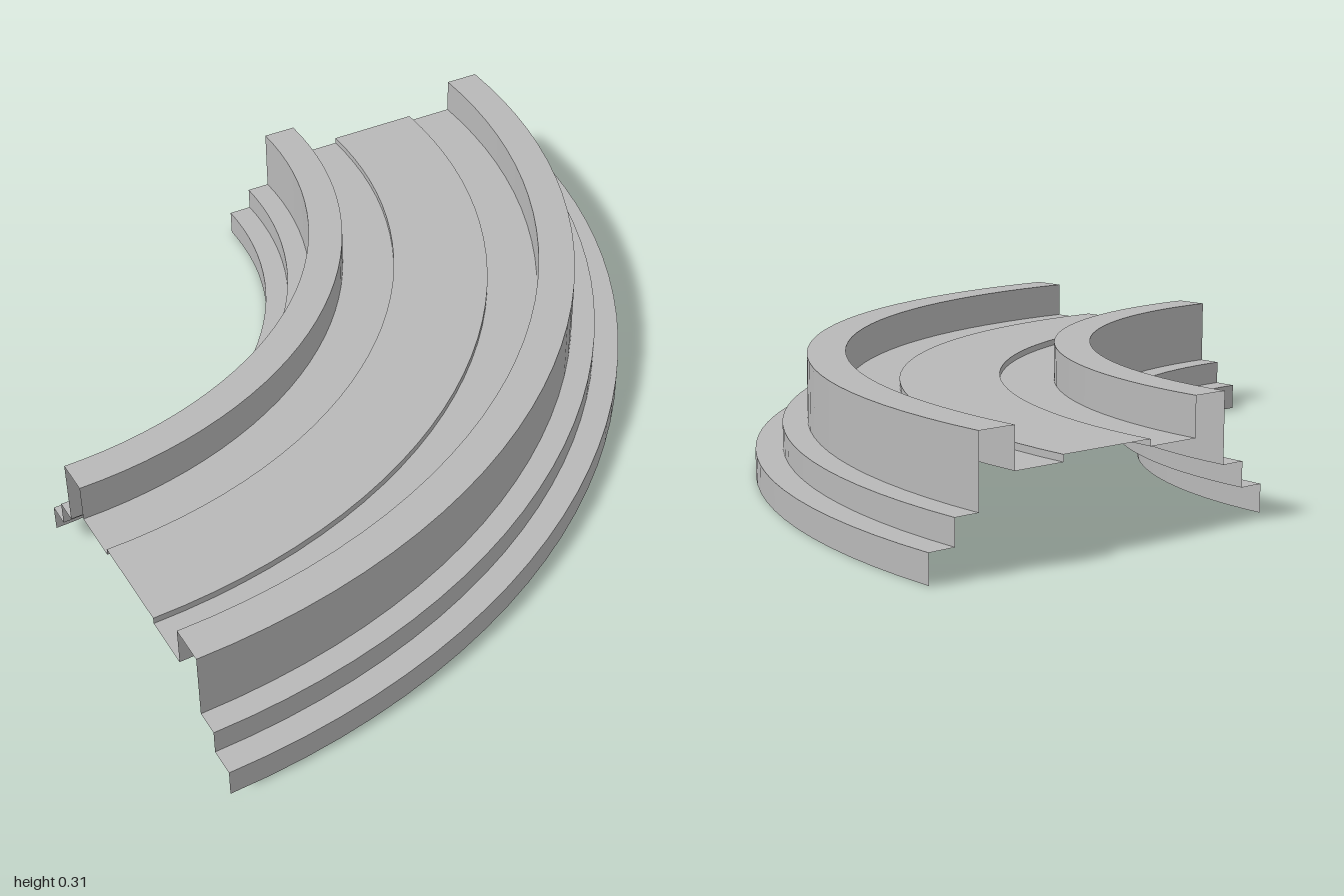
import * as THREE from 'three';

// Quarter-circle road bend: open sheet profiles swept around the corner (-1, -1)
const QUARTER = Math.PI / 2;
const SEGMENTS = 32;
const SLABS = 8;

export function createModel() {
  const concrete = new THREE.MeshStandardMaterial({ color: 0xb8b8b8 });
  concrete.name = 'concrete';
  concrete.flatShading = true;
  concrete.side = THREE.DoubleSide;

  const bend = new THREE.Group();
  bend.name = 'roadBend';
  bend.position.set(-1, 0, -1);

  // Sweep a [radius, height] profile, listed from the outside inwards
  function sweep(name, profile, start = 0, angle = QUARTER, segments = SEGMENTS) {
    const points = profile.map(([r, y]) => new THREE.Vector2(r, y));
    const mesh = new THREE.Mesh(new THREE.LatheGeometry(points, segments, start, angle), concrete);
    mesh.name = name;
    bend.add(mesh);
  }

  const base = 0.07, ledge = 0.133, top = 0.307, walk = 0.208, road = 0.225;

  // Parapets with two stepped ledges on the side away from the road
  sweep('outerParapet', [
    [2, 0], [2, base], [1.93, base], [1.93, ledge],
    [1.865, ledge], [1.865, top], [1.765, top], [1.765, walk],
  ]);
  sweep('innerParapet', [
    [1.215, walk], [1.215, top], [1.12, top], [1.12, ledge],
    [1.055, ledge], [1.055, base], [0.99, base], [0.99, 0],
  ]);

  // Lower strips beside the road, with the small kerb up to it
  sweep('outerStrip', [[1.765, walk], [1.625, walk], [1.625, road]]);
  sweep('innerStrip', [[1.36, road], [1.36, walk], [1.215, walk]]);

  // Road surface laid as separate slabs
  const step = QUARTER / SLABS;
  for (let i = 0; i < SLABS; i++) {
    sweep('roadSlab', [[1.625, road], [1.36, road]], i * step, step, SEGMENTS / SLABS);
  }

  const model = new THREE.Group();
  model.name = 'curvedRoadSection';
  model.add(bend);
  return model;
}
